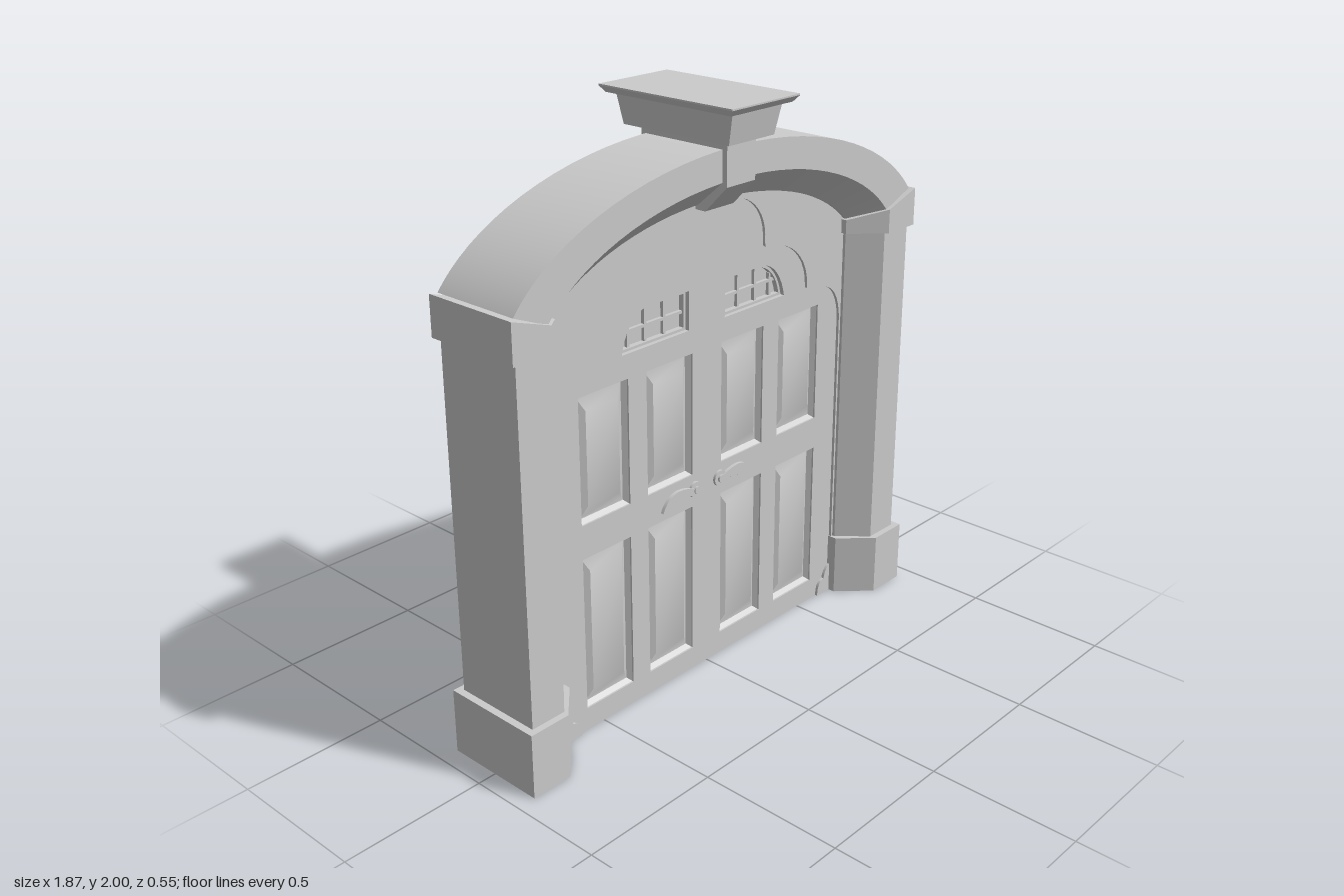
import * as THREE from 'three';
import { toCreasedNormals } from 'three/addons/utils/BufferGeometryUtils.js';

const material = new THREE.MeshStandardMaterial({ color: 0xcccccc });
const V2 = (x, y) => new THREE.Vector2(x, y);

function part(name, geometry, parent) {
  const mesh = new THREE.Mesh(geometry, material);
  mesh.name = name;
  parent.add(mesh);
  return mesh;
}

// Skins a row of closed cross-sections, each counterclockwise about the direction of travel
function loft(rings) {
  const n = rings[0].length, index = [], last = (rings.length - 1) * n;
  for (let i = 0; i < rings.length - 1; i++) {
    for (let j = 0; j < n; j++) {
      const a = i * n + j, b = i * n + (j + 1) % n;
      index.push(a, b, b + n, a, b + n, a + n);
    }
  }
  for (let j = 1; j < n - 1; j++) {
    index.push(0, j + 1, j, last, last + j, last + j + 1);
  }
  const g = new THREE.BufferGeometry();
  g.setAttribute('position', new THREE.Float32BufferAttribute(rings.flat(2), 3));
  g.setIndex(index);
  return toCreasedNormals(g, 0.5);
}

const rect = (x0, x1, y0, y1, z) => [[x0, y0, z], [x1, y0, z], [x1, y1, z], [x0, y1, z]];

// Flat outline given thickness, centred on z = 0
function slab(points, halfDepth, holes = []) {
  const shape = new THREE.Shape(points);
  shape.holes = holes.map(h => new THREE.Path(h));
  const g = new THREE.ExtrudeGeometry(shape, { depth: 2 * halfDepth, bevelEnabled: false });
  return toCreasedNormals(g.translate(0, 0, -halfDepth), 0.5);
}

// Upright post with chamfered inner corners
function post(outer, corner, inner, z, zIn, y0, y1) {
  const plan = new THREE.Shape([
    V2(outer, -z), V2(outer, z), V2(corner, z), V2(inner, zIn), V2(inner, -zIn), V2(corner, -z)]);
  const g = new THREE.ExtrudeGeometry(plan, { depth: y1 - y0, bevelEnabled: false });
  return g.rotateX(-Math.PI / 2).translate(0, y0, 0);
}

// Half outline of the lobed doorway, from the floor to the crown
function lobedOutline() {
  const p = new THREE.Path();
  p.moveTo(0.61, 0);
  p.quadraticCurveTo(0.61, 0.055, 0.645, 0.06);
  p.quadraticCurveTo(0.655, 0.1, 0.682, 0.11);
  p.lineTo(0.682, 1.1);
  p.quadraticCurveTo(0.67, 1.235, 0.555, 1.237);
  p.quadraticCurveTo(0.52, 1.24, 0.497, 1.25);
  p.bezierCurveTo(0.5, 1.37, 0.4, 1.445, 0.275, 1.447);
  p.quadraticCurveTo(0.268, 1.455, 0.27, 1.49);
  p.bezierCurveTo(0.265, 1.58, 0.19, 1.642, 0.1, 1.645);
  const half = p.getPoints(10);
  return [...half, ...half.map(v => V2(-v.x, v.y)).reverse()];
}

const flip = points => points.map(v => V2(-v.x, v.y)).reverse();

export function createModel() {
  const model = new THREE.Group();
  model.name = 'archedDoorway';

  // Pillars with plinths and sloping capitals
  for (const side of [1, -1]) {
    const pillar = new THREE.Group();
    pillar.name = side > 0 ? 'leftPillar' : 'rightPillar';
    part('shaft', post(0.91, 0.78, 0.69, 0.16, 0.06, 0.1, 1.45), pillar);
    part('plinth', post(0.935, 0.785, 0.678, 0.183, 0.075, 0, 0.225), pillar);
    const capital = post(0.93, 0.785, 0.678, 0.174, 0.07, 1.405, 1.5);
    const pos = capital.attributes.position;
    for (let i = 0; i < pos.count; i++) {
      if (pos.getY(i) > 1.45) pos.setY(i, 1.537 - (0.93 - pos.getX(i)) * 0.33);
    }
    capital.computeVertexNormals();
    part('capital', capital, pillar);
    if (side < 0) pillar.rotation.y = Math.PI;
    model.add(pillar);
  }

  // Arch: outer, front inner and deep inner edges follow three flattened curves
  const edge = (t, reach, a, b, top, z) => {
    const x = reach * Math.sin(t * Math.PI / 2);
    return [x, top - b * (1 - Math.sqrt(1 - (x / a) ** 2)), z];
  };
  const rings = [];
  for (let i = 0; i <= 36; i++) {
    const t = 1 - i / 18;
    const outer = z => edge(t, 0.91, 0.975, 0.486, 1.85, z);
    const face = z => edge(t, 0.785, 0.85, 0.425, 1.748, z);
    const deep = z => edge(t, 0.69, 0.76, 0.361, 1.662, z);
    rings.push([outer(0.16), outer(-0.16), face(-0.16), deep(-0.06), deep(0.06), face(0.16)]);
  }
  part('arch', loft(rings), model);

  // Keystone and the flared cap on it
  const keystone = new THREE.ExtrudeGeometry(new THREE.Shape([
    V2(-0.09, 1.645), V2(0.09, 1.645), V2(0.178, 1.735), V2(0.178, 1.88),
    V2(-0.178, 1.88), V2(-0.178, 1.735)]), { depth: 0.13, bevelEnabled: false });
  part('keystone', keystone.translate(0, 0, -0.065).rotateY(Math.PI / 2), model);
  const level = (x, z, y) => [[-x, y, z], [x, y, z], [x, y, -z], [-x, y, -z]];
  part('cap', loft([
    level(0.103, 0.218, 1.875), level(0.113, 0.24, 1.975), level(0.14, 0.258, 1.975),
    level(0.153, 0.275, 1.995), level(0.153, 0.275, 2)]), model);

  // Surround between the lobed doorway and the arch
  const lobes = lobedOutline();
  const rim = [];
  for (let i = 0; i <= 30; i++) {
    const x = -0.72 + 0.048 * i;
    rim.push(V2(x, 1.69 - 0.361 * (1 - Math.sqrt(1 - (x / 0.76) ** 2))));
  }
  part('surround', slab([V2(-0.72, 0), ...rim, V2(0.72, 0), ...lobes], 0.05), model);

  // Door leaf with openings for panels and windows
  const panels = [];
  for (const [x0, x1] of [[0.07, 0.28], [0.36, 0.572], [-0.28, -0.07], [-0.572, -0.36]]) {
    for (const [y0, y1] of [[0.08, 0.623], [0.74, 1.168]]) panels.push([x0, x1, y0, y1]);
  }
  const windowPath = new THREE.Path();
  windowPath.moveTo(0.085, 1.25);
  windowPath.lineTo(0.385, 1.25);
  windowPath.bezierCurveTo(0.37, 1.33, 0.32, 1.38, 0.26, 1.382);
  windowPath.lineTo(0.085, 1.382);
  const windowPoints = windowPath.getPoints(10);
  const holes = panels.map(([a, b, c, d]) => [V2(a, c), V2(b, c), V2(b, d), V2(a, d)]);
  part('door', slab(lobes, 0.04, [...holes, windowPoints, flip(windowPoints)]), model);

  // Raised panels, sunk into the leaf on both faces
  for (const [x0, x1, y0, y1] of panels) {
    const ring = (ix, iy, z) => rect(x0 + ix, x1 - ix, y0 + iy, y1 - iy, z);
    part('raisedPanel', loft([
      ring(0.036, 0.055, -0.033), ring(0.016, 0.016, -0.018), ring(0.012, 0.012, -0.018), ring(0, 0, -0.034),
      ring(0, 0, 0.034), ring(0.012, 0.012, 0.018), ring(0.016, 0.016, 0.018), ring(0.036, 0.055, 0.033)]), model);
  }

  // Windows: pane, thin frame and glazing bars
  const inset = windowPoints.map(v => V2(0.222 + (v.x - 0.222) * 0.93, 1.313 + (v.y - 1.313) * 0.86));
  for (const side of [1, -1]) {
    const place = points => (side > 0 ? points : flip(points));
    part('pane', slab(place(windowPoints), 0.006), model);
    part('windowFrame', slab(place(windowPoints), 0.025, [place(inset)]), model);
    for (const [x, y, w, h] of [[0.175, 1.316, 0.01, 0.13], [0.26, 1.316, 0.01, 0.13],
      [0.335, 1.295, 0.01, 0.085], [0.225, 1.31, 0.27, 0.01]]) {
      part('glazingBar', new THREE.BoxGeometry(w, h, 0.036).translate(side * x, y, 0), model);
    }
  }

  // Scrolled lever handles on both faces
  const lever = new THREE.Path();
  lever.moveTo(0.07, 0.678);
  lever.quadraticCurveTo(0.09, 0.668, 0.105, 0.678);
  lever.quadraticCurveTo(0.12, 0.66, 0.14, 0.674);
  lever.quadraticCurveTo(0.16, 0.656, 0.177, 0.67);
  lever.quadraticCurveTo(0.2, 0.67, 0.222, 0.655);
  lever.quadraticCurveTo(0.2, 0.705, 0.15, 0.71);
  lever.quadraticCurveTo(0.11, 0.71, 0.07, 0.692);
  const leverPoints = lever.getPoints(6);
  for (const side of [1, -1]) {
    part('lever', slab(side > 0 ? leverPoints : flip(leverPoints), 0.052), model);
    for (const [name, r, depth] of [['rose', 0.028, 0.098], ['knob', 0.013, 0.112]]) {
      part(name, new THREE.CylinderGeometry(r, r, depth, 24)
        .rotateX(Math.PI / 2).translate(side * 0.06, 0.685, 0), model);
    }
  }
  return model;
}
